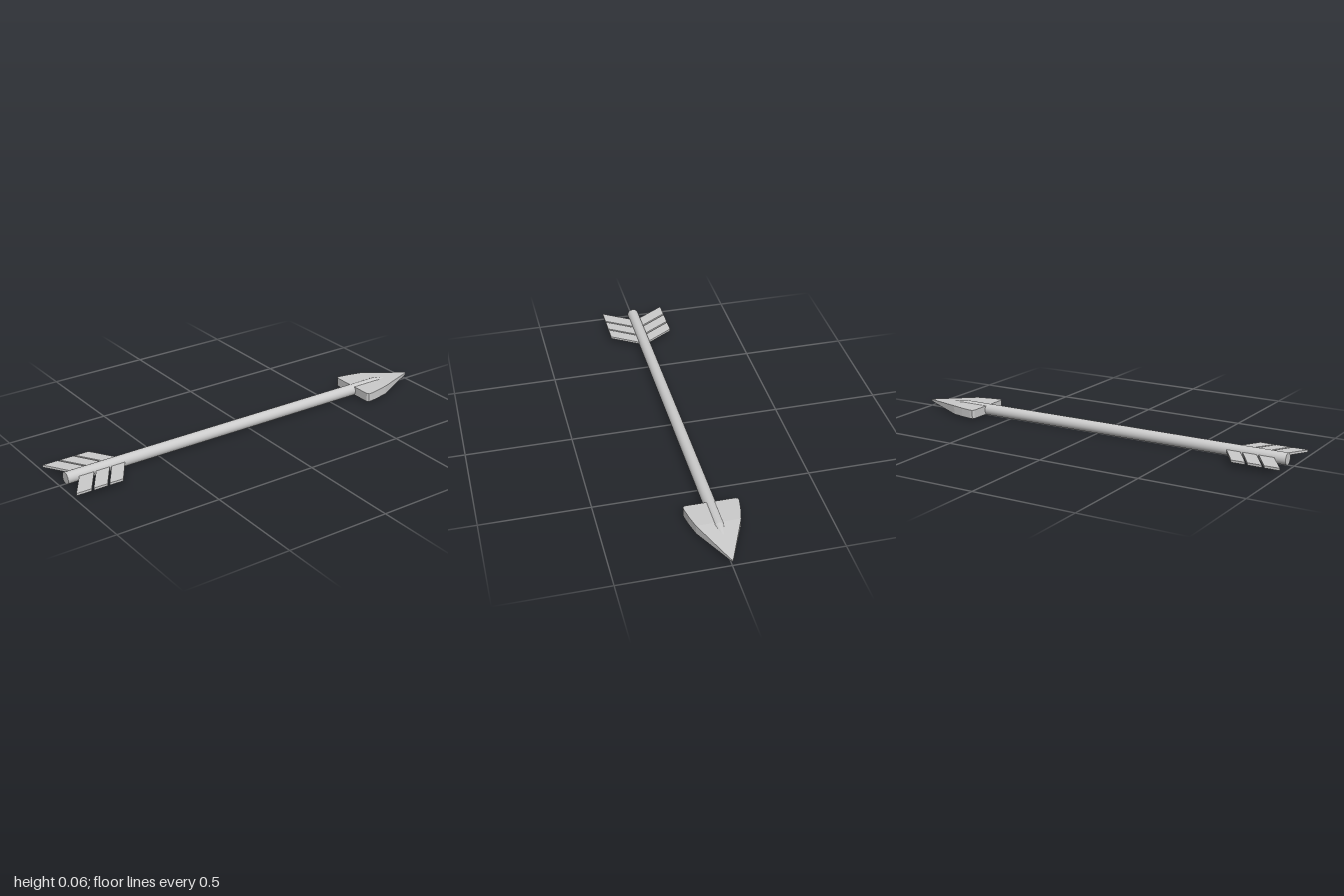
import * as THREE from 'three';

const AXIS_Y = 0.029;

// Loft of rectangular sections along x; each station is [x, halfWidth, halfHeight]
function loftRectangles(stations) {
  const ring = ([x, w, h]) => [[x, h, w], [x, h, -w], [x, -h, -w], [x, -h, w]];
  const pos = [];
  const quad = (a, b, c, d) => [a, b, c, a, c, d].forEach((p) => pos.push(...p));
  for (let i = 0; i < stations.length - 1; i++) {
    const a = ring(stations[i]);
    const b = ring(stations[i + 1]);
    for (let k = 0; k < 4; k++) {
      const n = (k + 1) % 4;
      quad(a[k], b[k], b[n], a[n]);
    }
  }
  const first = ring(stations[0]);
  const last = ring(stations[stations.length - 1]);
  quad(first[0], first[1], first[2], first[3]);
  quad(last[3], last[2], last[1], last[0]);
  const geo = new THREE.BufferGeometry();
  geo.setAttribute('position', new THREE.Float32BufferAttribute(pos, 3));
  geo.computeVertexNormals();
  return geo;
}

export function createModel() {
  const model = new THREE.Group();
  model.name = 'arrow';
  const smooth = new THREE.MeshStandardMaterial({ color: 0xcccccc });
  const flat = new THREE.MeshStandardMaterial({ color: 0xcccccc, flatShading: true });

  const add = (name, geo, material) => {
    const mesh = new THREE.Mesh(geo, material);
    mesh.name = name;
    mesh.position.y = AXIS_Y;
    model.add(mesh);
    return mesh;
  };

  // Round shaft, with a short taper that sinks into the head
  const rod = (name, x0, x1, r0, r1) => {
    const geo = new THREE.CylinderGeometry(r1, r0, x1 - x0, 32);
    geo.rotateZ(-Math.PI / 2).translate((x0 + x1) / 2, 0, 0);
    add(name, geo, smooth);
  };
  rod('shaft', -0.97, 0.79, 0.028, 0.028);
  rod('shaftTaper', 0.79, 0.87, 0.028, 0.0125);

  // Flat head: full thickness at the back, wedge towards the point
  add('head', loftRectangles([
    [0.643, 0.115, 0.0215],
    [0.65, 0.125, 0.0215],
    [0.665, 0.125, 0.0215],
    [0.72, 0.115, 0.0215],
    [0.78, 0.1, 0.0215],
    [0.99, 0.008, 0.005],
    [1.0, 0.002, 0.004],
  ]), flat);

  // Three swept vanes on each side of the tail
  const thickness = 0.011;
  const inner = 0.01;
  const outer = 0.158;
  const sweep = 0.095;
  const vanes = [[-1.0, -0.926], [-0.916, -0.848], [-0.838, -0.77]];
  for (const side of [1, -1]) {
    vanes.forEach(([x0, x1], i) => {
      const shape = new THREE.Shape([
        new THREE.Vector2(x0, side * outer),
        new THREE.Vector2(x1, side * outer),
        new THREE.Vector2(x1 + sweep, side * inner),
        new THREE.Vector2(x0 + sweep, side * inner),
      ]);
      const geo = new THREE.ExtrudeGeometry(shape, { depth: thickness, bevelEnabled: false });
      geo.translate(0, 0, -thickness / 2).rotateX(Math.PI / 2);
      add(`${side > 0 ? 'front' : 'back'}Vane${i + 1}`, geo, flat);
    });
  }
  return model;
}
